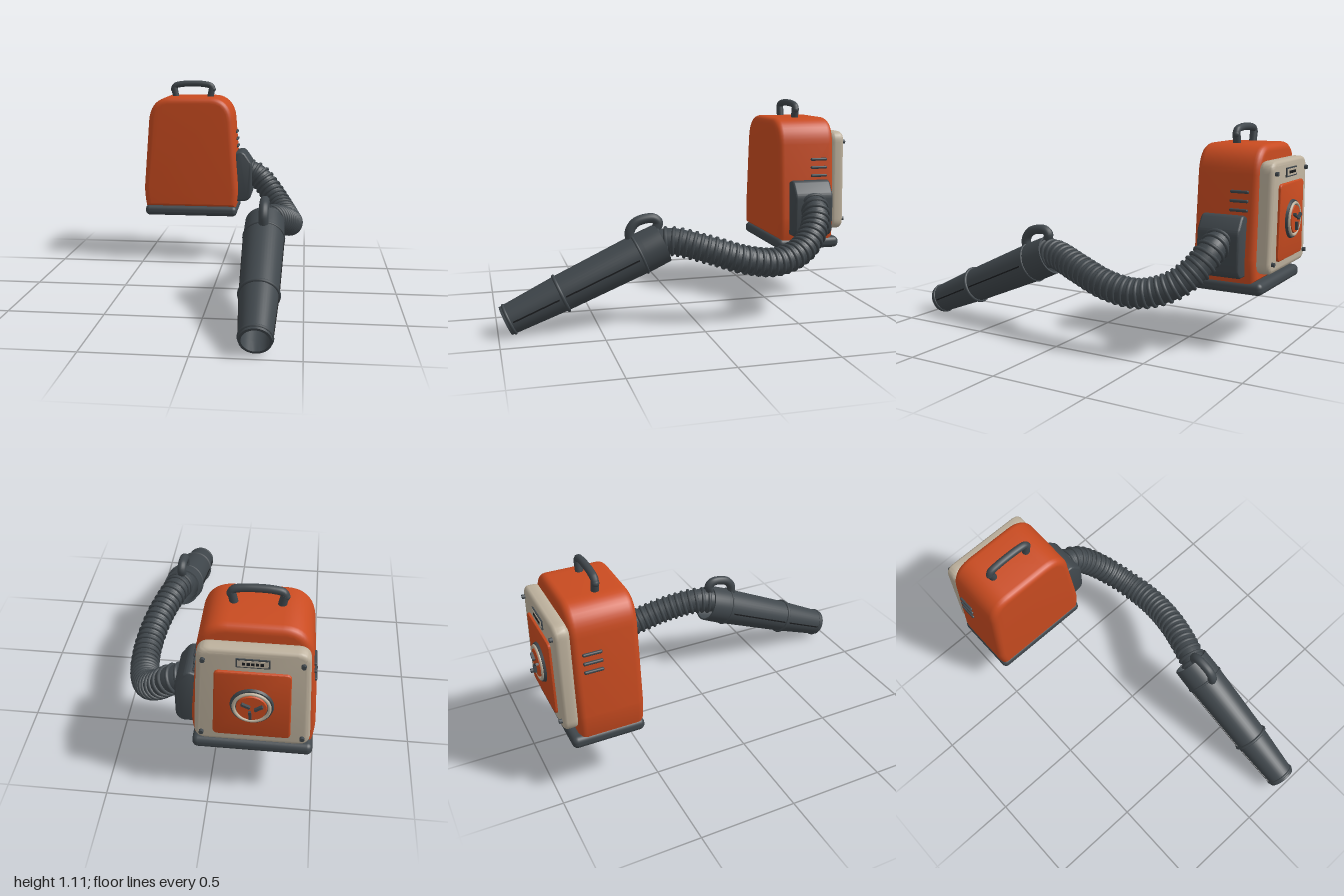
import * as THREE from 'three';
import { toCreasedNormals } from 'three/addons/utils/BufferGeometryUtils.js';
import { RoundedBoxGeometry } from 'three/addons/geometries/RoundedBoxGeometry.js';

const material = (name, color, side = THREE.FrontSide) => {
  const m = new THREE.MeshStandardMaterial({ color, side });
  m.name = name;
  return m;
};
const V = (x, y, z) => new THREE.Vector3(x, y, z);

export function createModel() {
  const orange = material('orange', 0xc94b20);
  const dark = material('dark grey', 0x40474c, THREE.DoubleSide);
  const cream = material('cream', 0xbdb19d);
  const black = material('black', 0x1b1d1f);
  const model = new THREE.Group();
  model.name = 'backpackBlower';
  const CX = -0.205;

  const add = (parent, name, geometry, mat, x = 0, y = 0, z = 0) => {
    const mesh = new THREE.Mesh(geometry, mat);
    mesh.name = name;
    mesh.position.set(x, y, z);
    parent.add(mesh);
    return mesh;
  };

  // Bevelled solid whose outer size matches the outline, from z = 0 to depth
  const slab = (shape, depth, bevel) => {
    const g = new THREE.ExtrudeGeometry(shape, {
      depth: depth - 2 * bevel, bevelEnabled: true, bevelSize: bevel, bevelThickness: bevel,
      bevelOffset: -bevel, bevelSegments: 5, curveSegments: 10,
    });
    g.translate(0, 0, bevel);
    return toCreasedNormals(g, 0.6);
  };

  // Rounded panel outline that narrows toward the top
  const panelShape = (bottomHalf, topHalf, y0, y1, r) => {
    const s = new THREE.Shape();
    s.moveTo(-bottomHalf + r, y0);
    s.lineTo(bottomHalf - r, y0);
    s.quadraticCurveTo(bottomHalf, y0, bottomHalf, y0 + r);
    s.lineTo(topHalf, y1 - r);
    s.quadraticCurveTo(topHalf, y1, topHalf - r, y1);
    s.lineTo(-topHalf + r, y1);
    s.quadraticCurveTo(-topHalf, y1, -topHalf, y1 - r);
    s.lineTo(-bottomHalf, y0 + r);
    s.quadraticCurveTo(-bottomHalf, y0, -bottomHalf + r, y0);
    return s;
  };

  // Motor housing
  const h = new THREE.Shape();
  h.moveTo(-0.278, 0.355);
  h.lineTo(0.278, 0.355);
  h.quadraticCurveTo(0.291, 0.42, 0.29, 0.48);
  h.lineTo(0.258, 0.89);
  h.bezierCurveTo(0.25, 0.98, 0.2, 1.03, 0.12, 1.03);
  h.lineTo(-0.12, 1.03);
  h.bezierCurveTo(-0.2, 1.03, -0.25, 0.98, -0.258, 0.89);
  h.lineTo(-0.29, 0.48);
  h.quadraticCurveTo(-0.291, 0.42, -0.278, 0.355);
  add(model, 'housing', slab(h, 0.33, 0.035), orange, CX, 0, -0.88);
  add(model, 'base', new RoundedBoxGeometry(0.57, 0.063, 0.368, 4, 0.027), dark, CX, 0.33, -0.733);

  // Side vents
  for (const side of [-1, 1]) {
    [0.805, 0.76, 0.715].forEach((y) => {
      const x = CX + side * (0.264 + (0.805 - y) * 0.08);
      add(model, 'sideVent', new RoundedBoxGeometry(0.024, 0.015, 0.095, 2, 0.006), dark, x, y, -0.785);
    });
  }

  // Carry handle: two posts and a bowed grip
  const handle = new THREE.Group();
  handle.name = 'carryHandle';
  handle.position.set(CX, 0, -0.7);
  model.add(handle);
  for (const s of [-1, 1]) {
    const post = add(handle, 'handlePost', new THREE.CylinderGeometry(0.02, 0.02, 0.075, 16), dark, s * 0.111, 1.045, 0);
    post.rotation.z = -s * 0.2;
  }
  const grip = new THREE.CatmullRomCurve3([
    V(-0.122, 1.073, 0), V(-0.11, 1.094, 0), V(-0.065, 1.105, 0), V(0, 1.108, 0),
    V(0.065, 1.105, 0), V(0.11, 1.094, 0), V(0.122, 1.073, 0)]);
  add(handle, 'handleGrip', new THREE.TubeGeometry(grip, 32, 0.019, 14), dark);
  for (const s of [-1, 1]) add(handle, 'gripEnd', new THREE.SphereGeometry(0.019, 14, 10), dark, s * 0.122, 1.073, 0);

  // Back cover, built facing +z then turned to the rear
  const back = new THREE.Group();
  back.name = 'backCover';
  back.position.set(CX, 0, -0.87);
  back.rotation.y = Math.PI;
  model.add(back);
  add(back, 'coverFrame', slab(panelShape(0.268, 0.25, 0.4, 0.955, 0.06), 0.077, 0.025), cream);
  add(back, 'coverPanel', slab(panelShape(0.178, 0.17, 0.457, 0.84, 0.025), 0.03, 0.006), orange, 0, 0, 0.06);
  for (const [x, y] of [[0.218, 0.895], [0.232, 0.455]]) {
    for (const s of [-1, 1]) {
      const screw = add(back, 'screw', new THREE.CylinderGeometry(0.011, 0.011, 0.024, 12), dark, s * x, y, 0.08);
      screw.rotation.x = Math.PI / 2;
    }
  }

  // Small slotted plate above the panel
  add(back, 'ventPlateRim', new THREE.BoxGeometry(0.15, 0.047, 0.01), dark, 0, 0.89, 0.078);
  add(back, 'ventPlate', new THREE.BoxGeometry(0.136, 0.034, 0.008), cream, 0, 0.89, 0.081);
  for (let i = -2; i <= 2; i++) add(back, 'ventHole', new THREE.BoxGeometry(0.014, 0.014, 0.004), black, i * 0.02, 0.89, 0.085);

  // Fan intake: stacked rings and three blades
  const fan = new THREE.Group();
  fan.name = 'fanIntake';
  fan.position.set(0, 0.652, 0.09);
  back.add(fan);
  const disc = (name, r0, r1, depth, mat, z) => {
    add(fan, name, new THREE.CylinderGeometry(r1, r0, depth, 40), mat, 0, 0, z).rotation.x = Math.PI / 2;
  };
  disc('fanRim', 0.1, 0.095, 0.014, dark, 0.005);
  add(fan, 'fanRing', new THREE.TorusGeometry(0.081, 0.008, 10, 40), cream, 0, 0, 0.014);
  disc('fanDisc', 0.074, 0.068, 0.024, orange, 0.01);
  for (let i = 0; i < 3; i++) {
    const arm = new THREE.Group();
    arm.name = 'fanBlade';
    arm.rotation.z = 0.35 + (i * Math.PI * 2) / 3;
    fan.add(arm);
    add(arm, 'blade', new THREE.BoxGeometry(0.042, 0.012, 0.018), dark, 0.034, 0, 0.027).rotation.z = 0.25;
  }

  // Hose outlet box on the left side
  const o = new THREE.Shape();
  o.moveTo(0.05, 0.388);
  o.lineTo(0.125, 0.388);
  o.quadraticCurveTo(0.16, 0.395, 0.167, 0.43);
  o.lineTo(0.169, 0.595);
  o.quadraticCurveTo(0.168, 0.62, 0.158, 0.635);
  o.lineTo(0.127, 0.68);
  o.quadraticCurveTo(0.108, 0.7, 0.085, 0.693);
  o.lineTo(0.05, 0.68);
  add(model, 'outletBox', slab(o, 0.22, 0.012), dark, 0, 0, -0.83);

  // Ribbed hose
  const path = new THREE.CatmullRomCurve3([
    V(0.12, 0.575, -0.72), V(0.2, 0.54, -0.712), V(0.278, 0.458, -0.67), V(0.35, 0.37, -0.575),
    V(0.4, 0.323, -0.42), V(0.41, 0.343, -0.25), V(0.378, 0.4, -0.06), V(0.32, 0.444, 0.12),
    V(0.29, 0.435, 0.22)]);
  add(model, 'hose', new THREE.TubeGeometry(path, 120, 0.066, 24), dark);
  const RIBS = 34;
  for (let i = 1; i < RIBS; i++) {
    const t = i / RIBS;
    const p = path.getPointAt(t);
    const rib = add(model, 'hoseRib', new THREE.TorusGeometry(0.067, 0.01, 8, 28), dark, p.x, p.y, p.z);
    rib.quaternion.setFromUnitVectors(V(0, 0, 1), path.getTangentAt(t));
  }

  // Nozzle: local +y runs down the barrel to the open mouth
  const nozzle = new THREE.Group();
  nozzle.name = 'nozzle';
  nozzle.position.set(0.29, 0.432, 0.17);
  nozzle.rotation.x = 1.985;
  model.add(nozzle);
  const profile = [[0.09, 0.12], [0.094, 0], [0.103, 0], [0.105, 0.1], [0.093, 0.565], [0.076, 0.865],
    [0.064, 0.865], [0.066, 0.8], [0.08, 0.5], [0.088, 0.13]].map(([r, y]) => new THREE.Vector2(r, y));
  add(nozzle, 'barrel', toCreasedNormals(new THREE.LatheGeometry(profile, 40), 0.6), dark);
  for (const [name, y, r, t] of [['rearBand', 0.13, 0.103, 0.007], ['middleBand', 0.565, 0.094, 0.009],
    ['mouthLip', 0.845, 0.075, 0.008]]) {
    add(nozzle, name, new THREE.TorusGeometry(r, t, 10, 40), dark, 0, y, 0).rotation.x = Math.PI / 2;
  }
  // Seam lines along both sides of the barrel
  for (const s of [-1, 1]) {
    for (const [y0, r0, y1, r1] of [[0.15, 0.1037, 0.55, 0.0934], [0.585, 0.0919, 0.83, 0.078]]) {
      const seam = add(nozzle, 'seam', new THREE.BoxGeometry(0.006, y1 - y0, 0.007), black, s * (r0 + r1) / 2, (y0 + y1) / 2, 0);
      seam.rotation.z = s * Math.atan((r0 - r1) / (y1 - y0));
    }
  }

  // Hooked grip on top of the nozzle
  const hook = new THREE.CatmullRomCurve3([
    V(0.29, 0.45, 0.335), V(0.29, 0.505, 0.335), V(0.29, 0.545, 0.305), V(0.29, 0.562, 0.25),
    V(0.29, 0.56, 0.212), V(0.29, 0.54, 0.19), V(0.29, 0.505, 0.2)]);
  add(model, 'nozzleGrip', new THREE.TubeGeometry(hook, 40, 0.025, 14), dark);

  return model;
}
